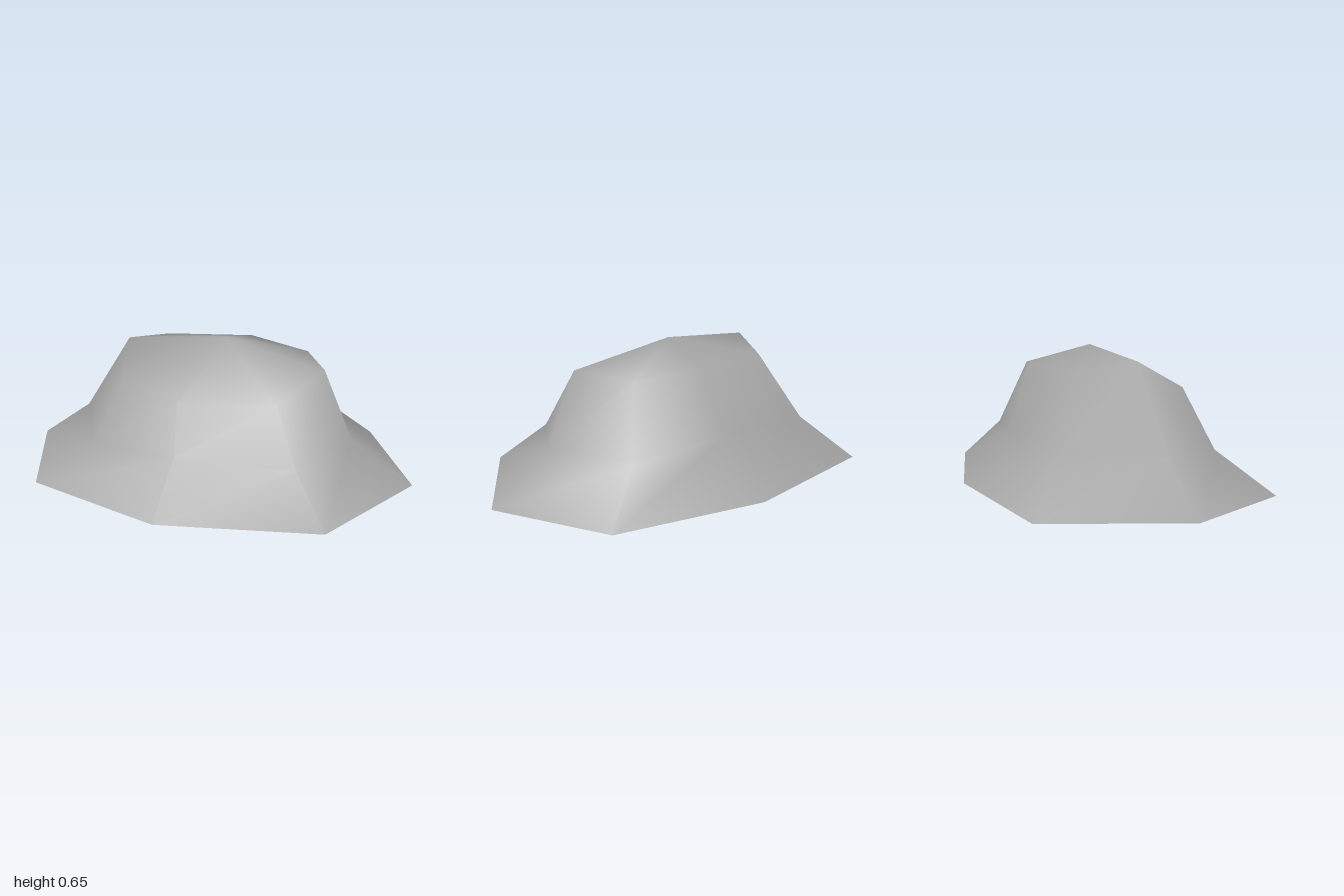
import * as THREE from 'three';

// Each ring runs front, left-front, left, left-back, back, right-back, right, right-front
const base = [
  [-0.07, 0, 0.705], [0.68, 0, 0.535], [1, 0, -0.02], [0.72, 0, -0.55],
  [0, 0, -0.71], [-0.76, 0, -0.6], [-1, 0, 0.015], [-0.76, 0, 0.54],
];
const shoulder = [
  [-0.07, 0.2, 0.43], [0.5, 0.19, 0.36], [0.69, 0.215, 0], [0.5, 0.21, -0.4],
  [0.03, 0.255, -0.465], [-0.54, 0.22, -0.42], [-0.72, 0.21, 0.02], [-0.52, 0.18, 0.36],
];
const crown = [
  [-0.07, 0.45, 0.37], [0.37, 0.455, 0.24], [0.54, 0.555, 0], [0.4, 0.54, -0.27],
  [0.08, 0.565, -0.35], [-0.365, 0.55, -0.28], [-0.48, 0.6, -0.02], [-0.4, 0.465, 0.25],
];
const peak = [0.03, 0.65, -0.05];

// Skin the rings into walls and close the top with a fan to the peak
function skin(rings, tip) {
  const n = rings[0].length;
  const index = [];
  for (let r = 0; r < rings.length - 1; r++) {
    for (let i = 0; i < n; i++) {
      const j = (i + 1) % n;
      const a = r * n + i, b = r * n + j, c = a + n, d = b + n;
      index.push(a, b, d, a, d, c);
    }
  }
  const last = (rings.length - 1) * n;
  for (let i = 0; i < n; i++) index.push(last + i, last + (i + 1) % n, rings.length * n);

  const geometry = new THREE.BufferGeometry();
  geometry.setAttribute('position', new THREE.Float32BufferAttribute([...rings.flat(2), ...tip], 3));
  geometry.setIndex(index);
  geometry.computeVertexNormals();
  return geometry;
}

export function createModel() {
  const group = new THREE.Group();
  group.name = 'rock';

  // The shell is open underneath, so both sides show
  const stone = new THREE.MeshStandardMaterial({ color: 0xa6a6a6, side: THREE.DoubleSide });
  stone.name = 'stone grey';

  const shell = new THREE.Mesh(skin([base, shoulder, crown], peak), stone);
  shell.name = 'rockShell';
  group.add(shell);
  return group;
}
